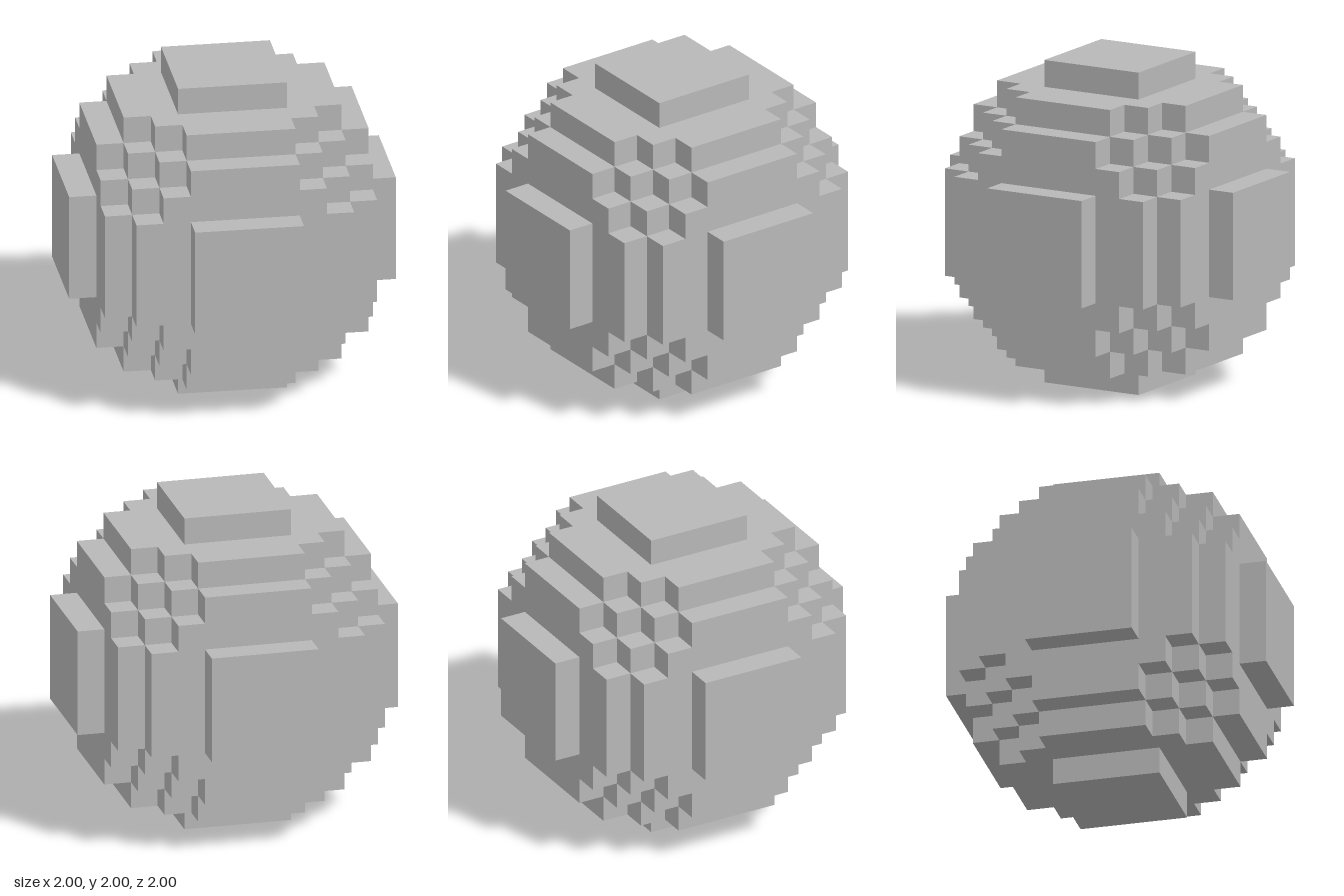
import * as THREE from 'three';
import { mergeGeometries } from 'three/addons/utils/BufferGeometryUtils.js';

const R = 6;            // radius in voxels
const S = 1 / R;        // voxel size
const filled = (x, y, z) => x * x + y * y + z * z < R * R;

// Height of the outermost voxel face above cell centre (x, y); 0 when the column is empty
function columnHeight(x, y) {
  let h = 0;
  while (filled(x, y, h + 0.5)) h++;
  return h;
}

// All faces that look along +z, with equal neighbours in a row joined into one strip
function createSideGeometry() {
  const strips = [];
  for (let j = -R; j < R; j++) {
    let start = -R;
    for (let i = -R; i < R; i++) {
      const h = columnHeight(i + 0.5, j + 0.5);
      const next = i + 1 < R ? columnHeight(i + 1.5, j + 0.5) : -1;
      if (next === h) continue;
      if (h > 0) {
        const strip = new THREE.PlaneGeometry((i + 1 - start) * S, S);
        strip.translate((start + i + 1) / 2 * S, (j + 0.5) * S, h * S);
        strips.push(strip);
      }
      start = i + 1;
    }
  }
  return mergeGeometries(strips);
}

export function createModel() {
  const model = new THREE.Group();
  model.name = 'voxelSphere';
  const stone = new THREE.MeshStandardMaterial({ color: 0xb8b8b8 });
  stone.name = 'stone grey';

  // The same stepped side, turned to the six directions
  const side = createSideGeometry();
  const q = Math.PI / 2;
  const turns = {
    frontSide: [0, 0], leftSide: [0, q], backSide: [0, 2 * q], rightSide: [0, -q],
    topSide: [-q, 0], bottomSide: [q, 0],
  };
  for (const [name, [rx, ry]] of Object.entries(turns)) {
    const mesh = new THREE.Mesh(side, stone);
    mesh.name = name;
    mesh.rotation.set(rx, ry, 0);
    mesh.position.y = 1;
    model.add(mesh);
  }
  return model;
}
